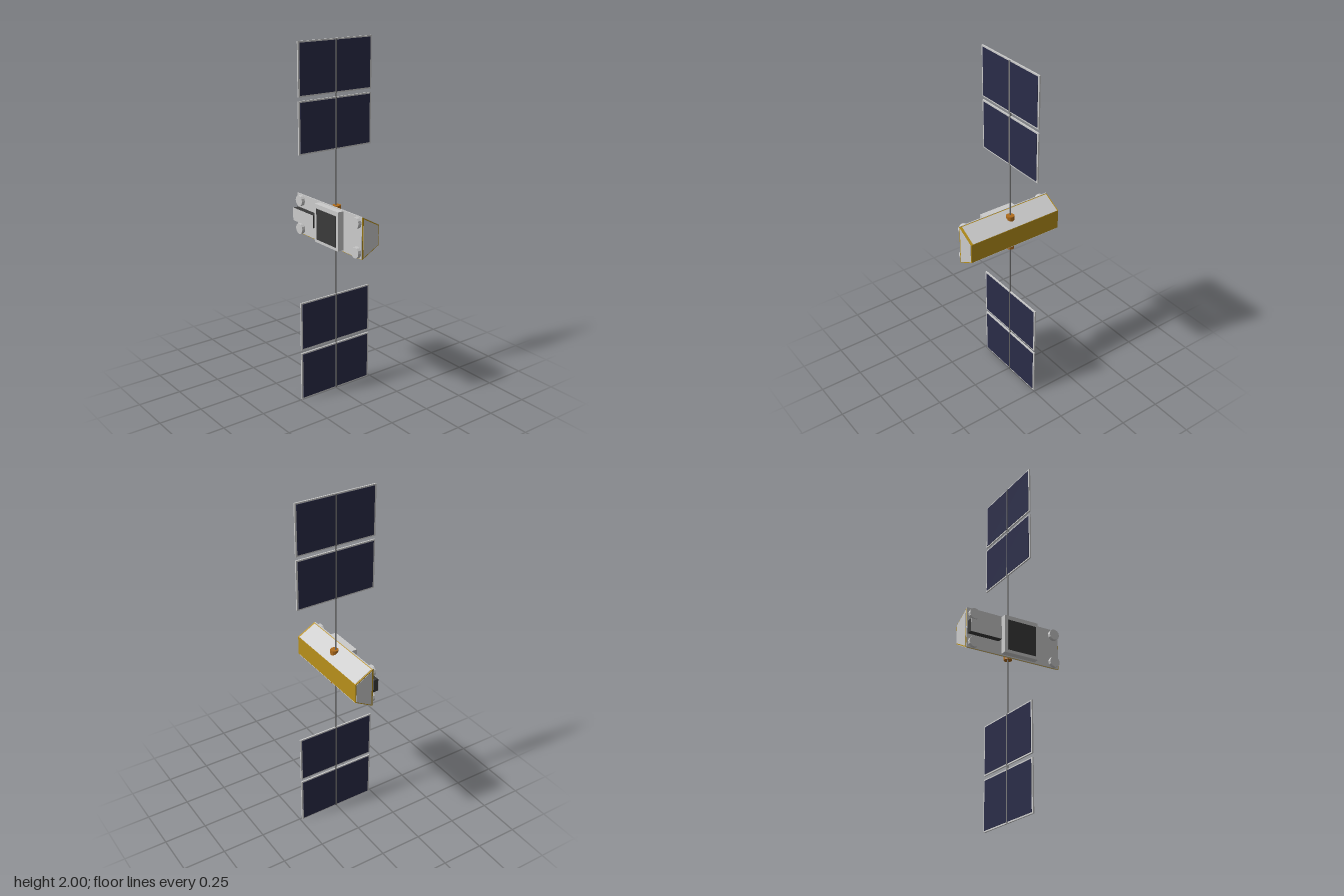
import * as THREE from 'three';

const mat = (color) => new THREE.MeshStandardMaterial({ color, flatShading: true });

export function createModel() {
  const model = new THREE.Group();
  const grey = mat(0xcccccc), gold = mat(0xb8901a), dark = mat(0x3a3a3a);
  const cell = mat(0x2a2c48), copper = mat(0xb06c1c), rodMat = mat(0x777777);

  const add = (name, geometry, material, x, y, z) => {
    const mesh = new THREE.Mesh(geometry, material);
    mesh.name = name;
    mesh.position.set(x, y, z);
    model.add(mesh);
    return mesh;
  };
  // Box given by its limits on each axis
  const box = (name, material, [x0, x1], [y0, y1], [z0, z1]) =>
    add(name, new THREE.BoxGeometry(x1 - x0, y1 - y0, z1 - z0), material,
      (x0 + x1) / 2, (y0 + y1) / 2, (z0 + z1) / 2);
  // Trapezoid in the z-y plane, extruded along x and centred on y = 1
  const wedge = (name, material, zBack, hBack, zFront, hFront, width, x = 0) => {
    const shape = new THREE.Shape([
      [zBack, -hBack], [zFront, -hFront], [zFront, hFront], [zBack, hBack],
    ].map(([z, y]) => new THREE.Vector2(z, y)));
    const geometry = new THREE.ExtrudeGeometry(shape, { depth: width, bevelEnabled: false });
    geometry.translate(0, 0, -width / 2).rotateY(-Math.PI / 2);
    return add(name, geometry, material, x, 1, 0);
  };

  // Tapered body with grey cover plates
  wedge('body', gold, -0.062, 0.056, 0.049, 0.117, 0.582);
  box('frontPlate', grey, [-0.291, 0.289], [0.886, 1.117], [0.045, 0.051]);
  const slope = Math.atan2(0.061, 0.111);
  for (const s of [-1, 1]) {
    wedge('endPlate', grey, -0.057, 0.053, 0.04, 0.106, 0.004, s * 0.291);
    const plate = add('slopePlate', new THREE.BoxGeometry(0.562, 0.004, 0.116), grey,
      -0.003, 1 + s * 0.085, -0.01);
    plate.rotation.x = -s * slope;
    // Collar where the mast leaves the body
    add('mastCollar', new THREE.CylinderGeometry(0.023, 0.023, 0.04, 10), copper,
      -0.002, 1 + s * 0.085, -0.007);
  }

  // Screen unit on the front
  box('screenHousing', grey, [-0.078, 0.132], [0.893, 1.112], [0.049, 0.088]);
  box('screen', dark, [-0.058, 0.118], [0.911, 1.087], [0.08, 0.091]);

  // Instrument box with a light face
  box('instrumentBox', dark, [-0.285, -0.095], [0.964, 1.038], [0.049, 0.086]);
  box('instrumentFace', grey, [-0.285, -0.095], [0.964, 1.038], [0.086, 0.088]);

  // Corner thrusters
  for (const x of [-0.252, 0.255]) {
    for (const y of [0.918, 1.082]) {
      add('thruster', new THREE.CylinderGeometry(0.031, 0.031, 0.022, 12), grey, x, y, 0.06)
        .rotation.x = Math.PI / 2;
    }
  }

  // Mast running through both solar wings
  add('mast', new THREE.CylinderGeometry(0.0045, 0.0045, 1.99, 8), rodMat, -0.006, 1, -0.002);

  // Two framed solar panels per wing, mirrored above and below
  for (const s of [-1, 1]) {
    for (const [near, far] of [[0.415, 0.697], [0.717, 1]]) {
      const y = 1 + s * (near + far) / 2, h = far - near;
      add('panelFrame', new THREE.BoxGeometry(0.008, h, 0.476), grey, -0.006, y, 0);
      add('solarCells', new THREE.BoxGeometry(0.012, h - 0.016, 0.456), cell, -0.006, y, 0);
      add('panelSpine', new THREE.BoxGeometry(0.014, h - 0.004, 0.009), rodMat, -0.006, y, -0.002);
    }
  }
  return model;
}
